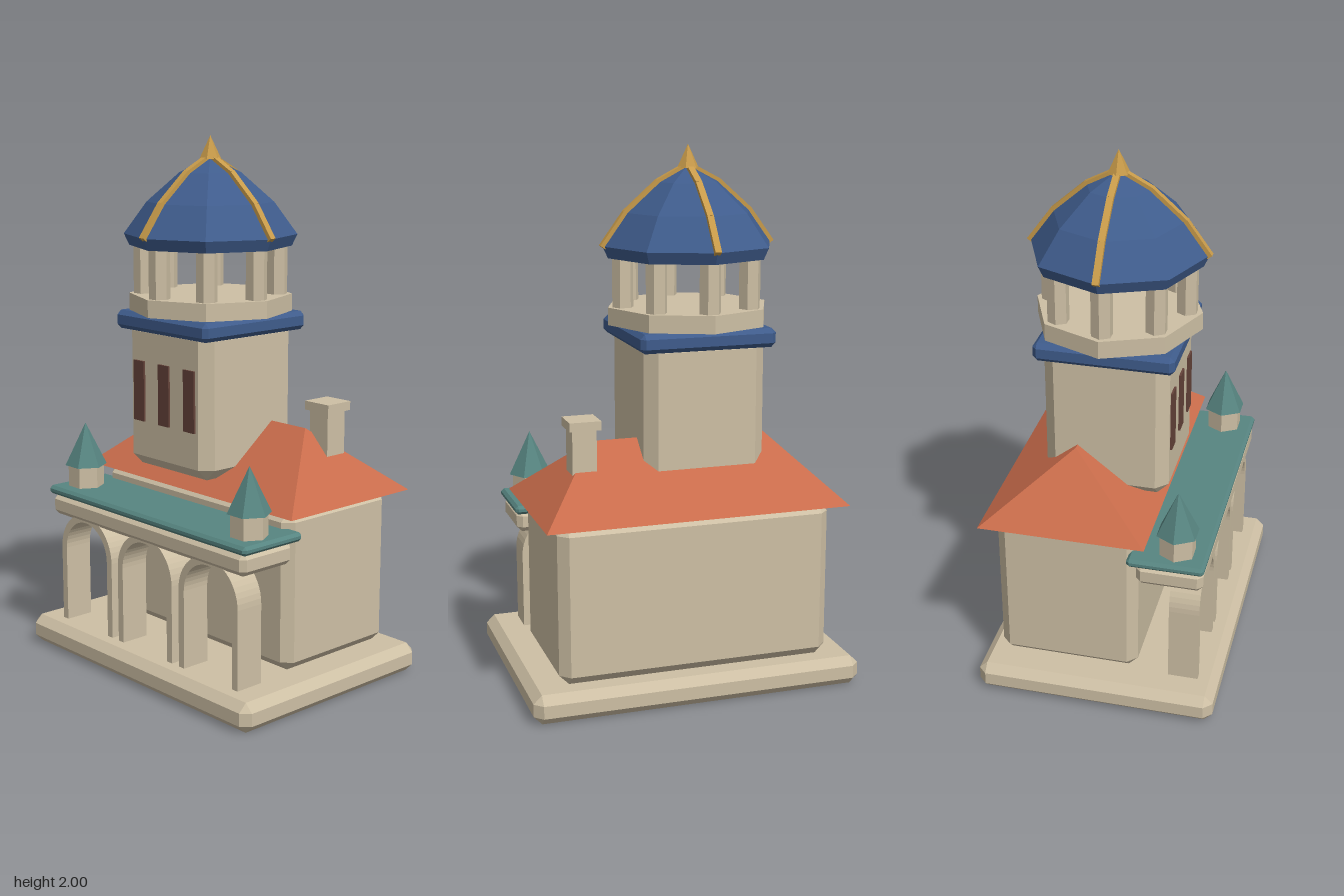
import * as THREE from 'three';
import { ConvexGeometry } from 'three/addons/geometries/ConvexGeometry.js';

const material = (name, color) => {
  const m = new THREE.MeshStandardMaterial({ color });
  m.name = name;
  return m;
};

// Faceted look: every face gets its own normal
function flat(geometry) {
  const g = geometry.index ? geometry.toNonIndexed() : geometry;
  g.computeVertexNormals();
  return g;
}

// Plain box between two corners
function box([x0, y0, z0], [x1, y1, z1]) {
  return new THREE.BoxGeometry(x1 - x0, y1 - y0, z1 - z0)
    .translate((x0 + x1) / 2, (y0 + y1) / 2, (z0 + z1) / 2);
}

// Box between two corners with all edges cut by c
function chamferBox([x0, y0, z0], [x1, y1, z1], c) {
  const half = [(x1 - x0) / 2, (y1 - y0) / 2, (z1 - z0) / 2];
  const points = [];
  for (const sx of [-1, 1]) for (const sy of [-1, 1]) for (const sz of [-1, 1]) {
    for (let full = 0; full < 3; full++) {
      const [x, y, z] = half.map((h, i) => (i === full ? h : h - c));
      points.push(new THREE.Vector3(sx * x, sy * y, sz * z));
    }
  }
  return new ConvexGeometry(points).translate((x0 + x1) / 2, (y0 + y1) / 2, (z0 + z1) / 2);
}

// Upright prism or cone with corners on the x axis
function prism(rTop, rBottom, y0, y1, sides) {
  return flat(new THREE.CylinderGeometry(rTop, rBottom, y1 - y0, sides)
    .rotateY(Math.PI / 2).translate(0, (y0 + y1) / 2, 0));
}

// Round arch standing on two thin posts
function archGeometry() {
  const outer = 0.156, inner = 0.127, foot = 0.1, spring = 0.405, depth = 0.113;
  const shape = new THREE.Shape();
  shape.moveTo(outer, foot);
  shape.lineTo(outer, spring);
  shape.absarc(0, spring, outer, 0, Math.PI, false);
  shape.lineTo(-outer, foot);
  shape.lineTo(-inner, foot);
  shape.lineTo(-inner, spring);
  shape.absarc(0, spring, inner, Math.PI, 0, true);
  shape.lineTo(inner, foot);
  return new THREE.ExtrudeGeometry(shape, { depth, bevelEnabled: false, curveSegments: 12 })
    .translate(0, 0, 0.262);
}

export function createModel() {
  const stone = material('stone', 0xcdbfa4);
  const terracotta = material('terracotta', 0xc96c4b);
  const blue = material('dome blue', 0x3f5c8c);
  const teal = material('teal', 0x578581);
  const gold = material('gold', 0xc89b4a);
  const brown = material('window brown', 0x65433a);

  const model = new THREE.Group();
  model.name = 'domedTowerHouse';
  const add = (name, geometry, mat, parent = model) => {
    const mesh = new THREE.Mesh(geometry, mat);
    mesh.name = name;
    parent.add(mesh);
    return mesh;
  };

  // Plinth and main hall
  add('plinth', chamferBox([-0.626, 0, -0.45], [0.626, 0.11, 0.45], 0.031), stone);
  add('hall', chamferBox([-0.515, 0.11, -0.388], [0.515, 0.705, 0.141], 0.036), stone);

  // Hipped roof with a short ridge
  const roofPoints = [new THREE.Vector3(-0.33, 0.945, -0.128), new THREE.Vector3(0.33, 0.945, -0.128)];
  for (const x of [-0.57, 0.57]) for (const z of [-0.437, 0.181]) {
    roofPoints.push(new THREE.Vector3(x, 0.703, z));
  }
  add('hippedRoof', new ConvexGeometry(roofPoints), terracotta);

  // Chimney
  add('chimneyStack', box([0.335, 0.85, -0.237], [0.425, 1.015, -0.147]), stone);
  add('chimneyCap', box([0.321, 1.013, -0.252], [0.438, 1.046, -0.135]), stone);

  // Arcade in front of the hall
  for (const x of [-0.35, 0, 0.35]) {
    add('arch', archGeometry(), stone).position.x = x;
  }
  add('arcadeBeam', chamferBox([-0.547, 0.534, 0.143], [0.547, 0.617, 0.39], 0.02), stone);
  add('arcadeRoof', chamferBox([-0.56, 0.614, 0.112], [0.56, 0.647, 0.395], 0.011), teal);

  // Corner turrets on the arcade
  for (const x of [-0.464, 0.464]) {
    const turret = new THREE.Group();
    turret.name = 'turret';
    turret.position.set(x, 0, 0.282);
    add('turretBase', prism(0.069, 0.069, 0.64, 0.73, 6), stone, turret);
    add('turretSpire', prism(0, 0.081, 0.73, 0.897, 6), teal, turret);
    model.add(turret);
  }

  // Tower, centred on its own axis
  const tower = new THREE.Group();
  tower.name = 'tower';
  tower.position.set(-0.077, 0, -0.026);
  model.add(tower);
  add('towerShaft', chamferBox([-0.23, 0.755, -0.23], [0.23, 1.32, 0.23], 0.043), stone, tower);
  for (const x of [-0.142, 0, 0.142]) {
    add('window', box([x - 0.03, 0.935, 0.228], [x + 0.03, 1.166, 0.2375]), brown, tower);
  }
  add('towerCornice', chamferBox([-0.257, 1.28, -0.257], [0.257, 1.35, 0.257], 0.017), blue, tower);

  // Open lantern: eight-sided floor and a ring of columns
  add('lanternFloor', prism(0.307, 0.307, 1.35, 1.415, 8), stone, tower);
  for (let i = 0; i < 8; i++) {
    const a = (i * Math.PI) / 4;
    add('lanternColumn', prism(0.04, 0.04, 1.41, 1.605, 6), stone, tower)
      .position.set(Math.cos(a) * 0.25, 0, Math.sin(a) * 0.25);
  }

  // Eight-sided dome with a flared eave
  add('domeEave', prism(0.325, 0.305, 1.595, 1.638, 8), blue, tower);
  const profile = [[0.325, 1.638], [0.238, 1.757], [0.115, 1.865], [0, 1.925]]
    .map(([r, y]) => new THREE.Vector2(r, y));
  add('dome', flat(new THREE.LatheGeometry(profile, 8)), blue, tower);

  // Gold ribs laid along the dome profile on the four axes
  for (let i = 0; i < 4; i++) {
    const rib = new THREE.Group();
    rib.name = 'domeRib';
    rib.rotation.y = (i * Math.PI) / 2;
    tower.add(rib);
    for (let k = 0; k < profile.length - 1; k++) {
      const [p, q] = [profile[k], profile[k + 1]];
      const length = p.distanceTo(q) + 0.006;
      const segment = add('ribSegment', new THREE.BoxGeometry(length, 0.022, 0.024), gold, rib);
      segment.position.set((p.x + q.x) / 2, (p.y + q.y) / 2, 0);
      segment.rotation.z = Math.atan2(q.y - p.y, q.x - p.x);
    }
  }
  add('finial', prism(0, 0.041, 1.915, 2, 6), gold, tower);

  return model;
}
